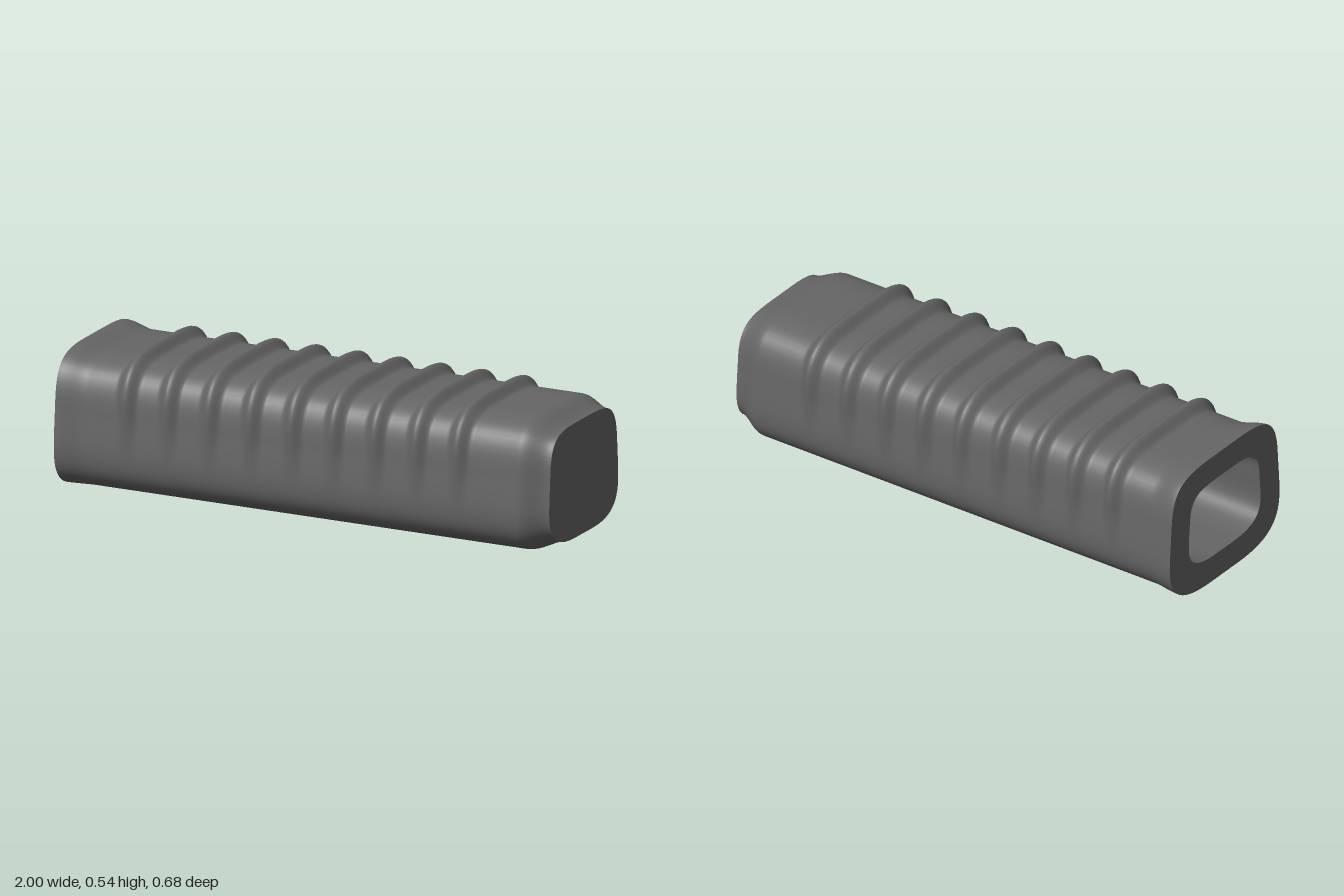
import * as THREE from 'three';

const rubber = new THREE.MeshStandardMaterial({ color: 0x666666 });
rubber.name = 'greyRubber';

// Closed cross-section in (z, y): soft rounded corners, sides leaning in towards the top
function sectionPoints() {
  const s = new THREE.Shape();
  s.moveTo(0, 0.51);
  s.lineTo(0.08, 0.51);
  s.bezierCurveTo(0.25, 0.51, 0.302, 0.48, 0.31, 0.33);
  s.bezierCurveTo(0.313, 0.28, 0.32, 0.22, 0.32, 0.17);
  s.bezierCurveTo(0.32, 0.05, 0.25, 0, 0.08, 0);
  s.lineTo(0, 0);
  const half = s.getPoints(14);
  const mirrored = half.slice(1, -1).reverse().map((p) => new THREE.Vector2(-p.x, p.y));
  return [...half, ...mirrored];
}

const section = sectionPoints();
const count = section.length;

// Outward direction at each section point
const outward = section.map((p, j) => {
  const a = section[(j + count - 1) % count], b = section[(j + 1) % count];
  const t = b.clone().sub(a).normalize();
  return new THREE.Vector2(-t.y, t.x);
});

// Section scaled in z and y, lifted, and placed at x
const ring = (x, sz, sy, lift) =>
  section.map((p) => new THREE.Vector3(x, p.y * sy + lift, p.x * sz));

// Skin a list of closed rings
function loft(rings, name) {
  const pos = [], index = [];
  rings.forEach((r) => r.forEach((p) => pos.push(p.x, p.y, p.z)));
  for (let i = 0; i < rings.length - 1; i++) {
    for (let j = 0; j < count; j++) {
      const k = (j + 1) % count;
      const a = i * count + j, b = i * count + k;
      index.push(a, b, a + count, b, b + count, a + count);
    }
  }
  const g = new THREE.BufferGeometry();
  g.setAttribute('position', new THREE.Float32BufferAttribute(pos, 3));
  g.setIndex(index);
  g.computeVertexNormals();
  const mesh = new THREE.Mesh(g, rubber);
  mesh.name = name;
  return mesh;
}

const ridgeXs = Array.from({ length: 9 }, (_, i) => -0.717 + i * 0.17);
const RIDGE_HALF = 0.05;

// Ridge height along the length
function ridgeAt(x) {
  for (const c of ridgeXs) {
    const d = Math.abs(x - c);
    if (d < RIDGE_HALF) return 0.035 * (0.5 + 0.5 * Math.cos((Math.PI * d) / RIDGE_HALF));
  }
  return 0;
}

// Outer skin: flared open end, ridged middle, tapered closed end
function bodyRing(x) {
  const flare = 1 - THREE.MathUtils.smoothstep(x, -1.0, -0.88);
  const taper = THREE.MathUtils.smoothstep(x, 0.88, 1.0);
  const sz = 1 + 0.069 * flare - 0.1375 * taper;
  const sy = 1 + 0.04 * flare - 0.141 * taper;
  const h = ridgeAt(x);
  return ring(x, sz, sy, 0.037 * taper).map((p, j) => {
    // Ridges fade out down the sides
    const k = h * THREE.MathUtils.smoothstep(section[j].y, 0.14, 0.5);
    p.z += outward[j].x * k;
    p.y += outward[j].y * k;
    return p;
  });
}

export function createModel() {
  const group = new THREE.Group();
  group.name = 'ridgedGrip';

  const STEPS = 300;
  const body = [];
  for (let i = 0; i <= STEPS; i++) body.push(bodyRing(-1 + (2 * i) / STEPS));
  group.add(loft(body, 'gripBody'));

  // Closed end
  group.add(loft([body[STEPS], ring(1, 0, 0, 0.256)], 'endCap'));

  // Open end: rim, hollow and its floor
  const hole = (x) => ring(x, 0.7, 0.63, 0.105);
  group.add(loft([hole(-1), body[0]], 'openRim'));
  group.add(loft([hole(0.88), hole(-1)], 'hollowWall'));
  group.add(loft([ring(0.88, 0, 0, 0.265), hole(0.88)], 'hollowFloor'));

  return group;
}
